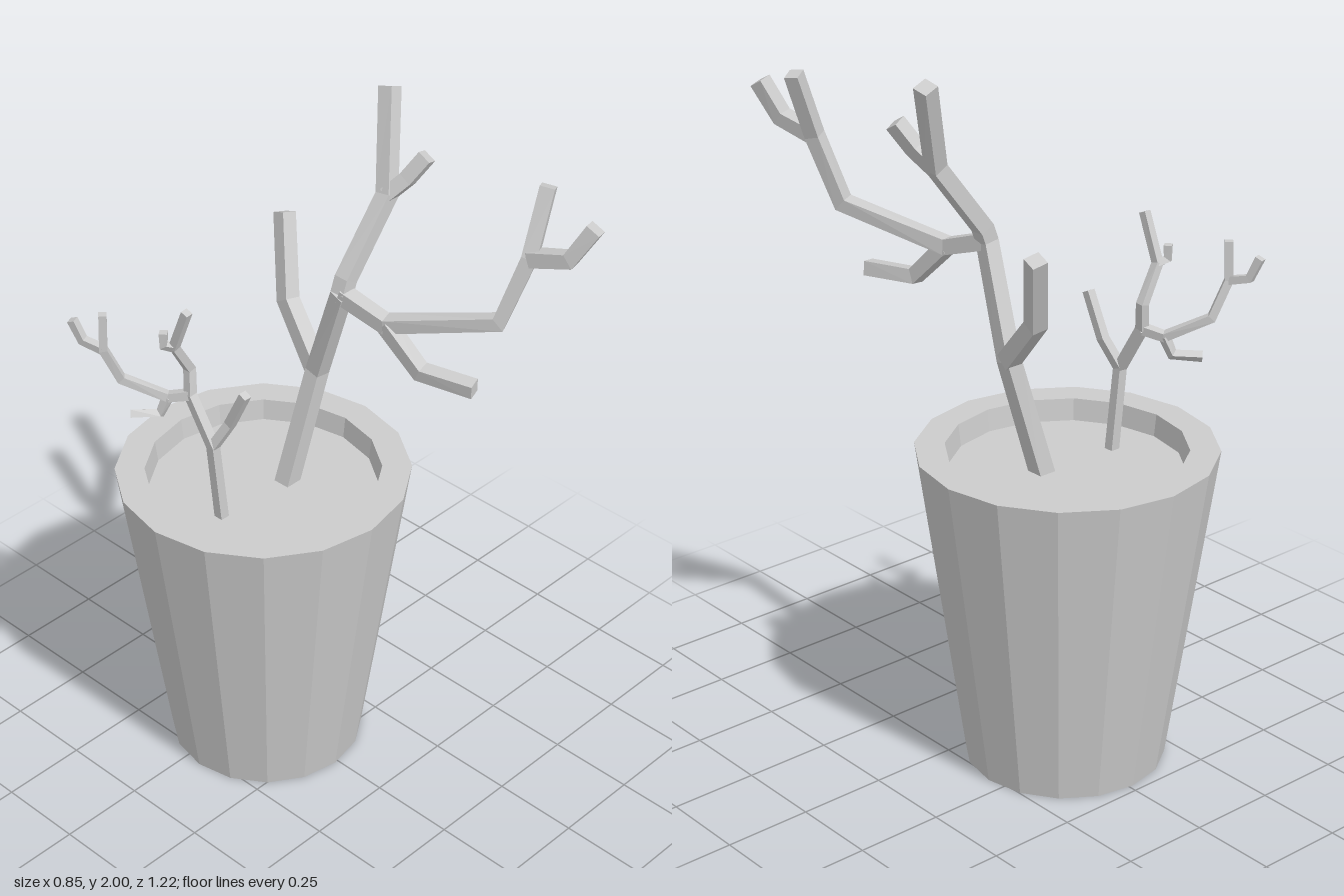
import * as THREE from 'three';

const material = new THREE.MeshStandardMaterial({ color: 0xcccccc, flatShading: true, side: THREE.DoubleSide });
const POT_X = -0.011, POT_Z = -0.197, SIDES = 16;

// Square twig swept along a polyline; rings are mitred at each joint
function twig(name, points, r0, r1) {
  const p = points.map(a => new THREE.Vector3(...a));
  const dirs = p.slice(1).map((q, i) => q.clone().sub(p[i]).normalize());
  const n = p.length, pos = [], index = [];
  const side = new THREE.Vector3(1, 0, 0);
  for (let i = 0; i < n; i++) {
    const din = dirs[Math.max(i - 1, 0)], dout = dirs[Math.min(i, n - 2)];
    const t = din.clone().add(dout).normalize();
    side.addScaledVector(t, -side.dot(t)).normalize();
    const up = t.clone().cross(side);
    const h = THREE.MathUtils.lerp(r0, r1, i / (n - 1));
    for (const [a, b] of [[1, 1], [-1, 1], [-1, -1], [1, -1]]) {
      pos.push(...p[i].clone().addScaledVector(side, a * h).addScaledVector(up, b * h).toArray());
    }
  }
  for (let i = 0; i < n - 1; i++) {
    for (let k = 0; k < 4; k++) {
      const a = i * 4 + k, b = i * 4 + (k + 1) % 4;
      index.push(a, b, b + 4, a, b + 4, a + 4);
    }
  }
  const e = (n - 1) * 4;
  index.push(0, 2, 1, 0, 3, 2, e, e + 1, e + 2, e, e + 2, e + 3);
  const g = new THREE.BufferGeometry();
  g.setAttribute('position', new THREE.Float32BufferAttribute(pos, 3));
  g.setIndex(index);
  g.computeVertexNormals();
  const mesh = new THREE.Mesh(g, material);
  mesh.name = name;
  return mesh;
}

function plant(name, twigs) {
  const group = new THREE.Group();
  group.name = name;
  twigs.forEach(t => group.add(twig(...t)));
  return group;
}

function createPot() {
  const pot = new THREE.Group();
  pot.name = 'pot';
  // Outer wall, flat rim, inner wall and raised floor
  const profile = [[0.28, 0], [0.413, 0.925], [0.33, 0.925], [0.22, 0.045], [0, 0.045]];
  const shell = new THREE.Mesh(
    new THREE.LatheGeometry(profile.map(q => new THREE.Vector2(...q)), SIDES), material);
  shell.name = 'potShell';
  const soil = new THREE.Mesh(new THREE.CircleGeometry(0.323, SIDES).rotateX(-Math.PI / 2), material);
  soil.name = 'soil';
  soil.position.y = 0.862;
  pot.add(shell, soil);
  pot.position.set(POT_X, 0, POT_Z);
  return pot;
}

export function createModel() {
  const model = new THREE.Group();
  model.name = 'pottedPlant';
  model.add(createPot());

  // Tall plant: joints shared by several twigs
  const fork = [0.145, 1.2, -0.14], crown = [0.13, 1.5, -0.035];
  const topFork = [0.295, 1.735, -0.03], frontFork = [0.155, 1.455, 0.1], outerFork = [0.335, 1.72, 0.43];
  model.add(plant('tallPlant', [
    ['trunk', [[0.05, 0.85, -0.168], fork, crown], 0.025, 0.022],
    ['backBranch', [fork, [0.18, 1.35, -0.285], [0.25, 1.565, -0.365]], 0.024, 0.022],
    ['topBranch', [crown, [0.145, 1.54, -0.035], topFork, [0.395, 1.985, -0.117]], 0.022, 0.022],
    ['topTwig', [topFork, [0.33, 1.785, 0.01], [0.365, 1.85, 0.045]], 0.02, 0.02],
    ['frontBranch', [crown, frontFork, [0.28, 1.53, 0.385], outerFork, [0.4, 1.9, 0.425]], 0.022, 0.02],
    ['outerTwig', [outerFork, [0.36, 1.75, 0.54], [0.393, 1.845, 0.588]], 0.021, 0.021],
    ['lowerTwig', [frontFork, [0.175, 1.345, 0.21], [0.22, 1.338, 0.36]], 0.021, 0.02],
  ]));

  // Small plant
  const base = [-0.207, 1.1, -0.19], hub = [-0.212, 1.235, -0.268], high = [-0.262, 1.41, -0.27];
  const rear = [-0.245, 1.22, -0.32], rearHigh = [-0.37, 1.38, -0.43];
  model.add(plant('smallPlant', [
    ['stem', [[-0.19, 0.85, -0.18], base, hub], 0.014, 0.013],
    ['frontTwig', [base, [-0.18, 1.18, -0.15], [-0.18, 1.3, -0.09]], 0.013, 0.012],
    ['upperTwig', [hub, [-0.202, 1.31, -0.278], high, [-0.262, 1.54, -0.217]], 0.013, 0.011],
    ['upperSideTwig', [high, [-0.285, 1.42, -0.285], [-0.285, 1.46, -0.285]], 0.011, 0.011],
    ['rearTwig', [hub, rear, [-0.33, 1.278, -0.41], rearHigh, [-0.368, 1.49, -0.428]], 0.013, 0.011],
    ['rearTipTwig', [rearHigh, [-0.392, 1.395, -0.485], [-0.405, 1.455, -0.508]], 0.011, 0.011],
    ['rearLowTwig', [rear, [-0.262, 1.168, -0.335], [-0.318, 1.165, -0.392]], 0.012, 0.011],
  ]));
  return model;
}
